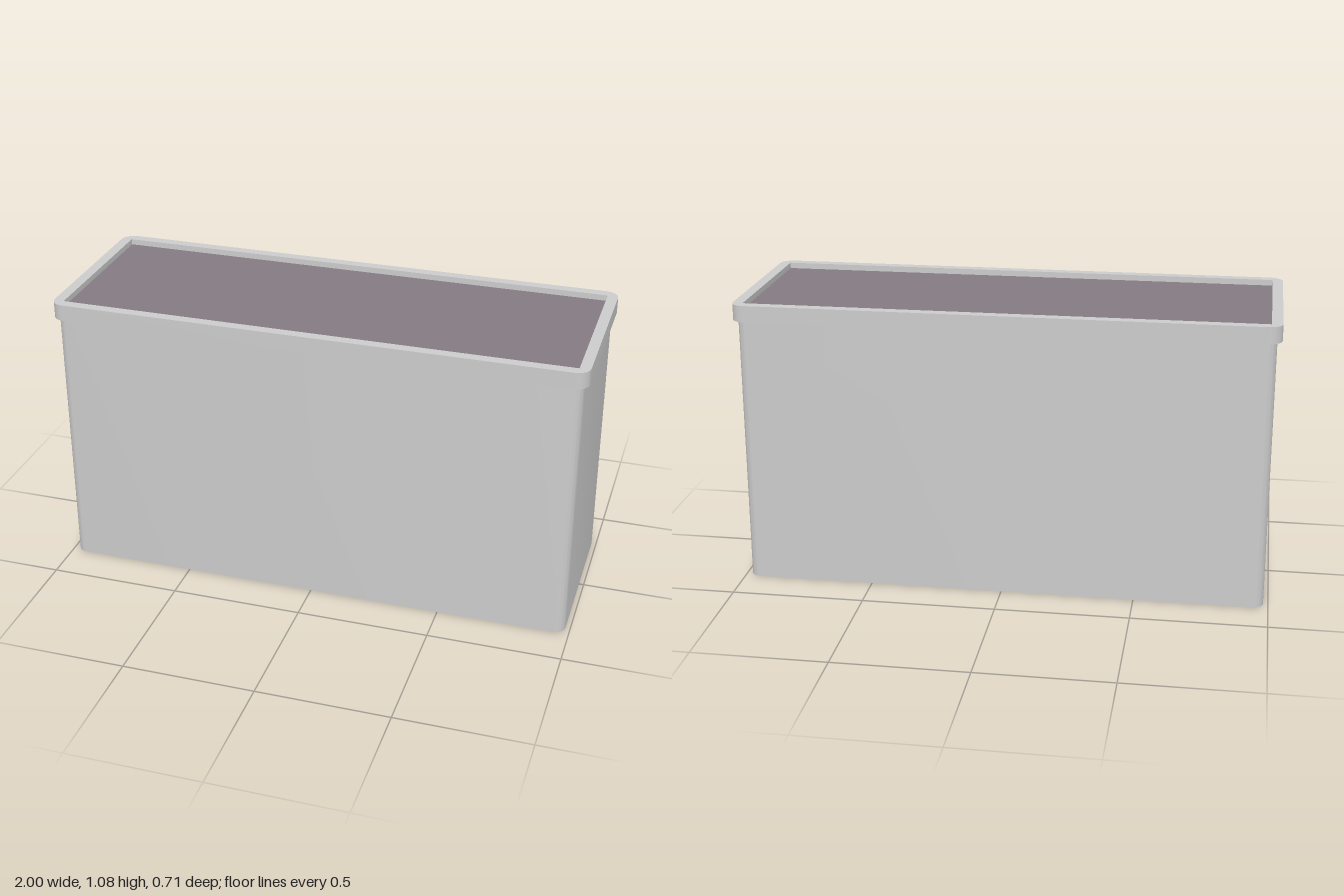
import * as THREE from 'three';
import { toCreasedNormals } from 'three/addons/utils/BufferGeometryUtils.js';

// Rounded rectangle outline centred on the origin
function roundedRect(width, depth, r) {
  const x = width / 2, y = depth / 2;
  const s = new THREE.Shape();
  s.moveTo(-x + r, -y);
  s.lineTo(x - r, -y);
  s.absarc(x - r, -y + r, r, -Math.PI / 2, 0);
  s.lineTo(x, y - r);
  s.absarc(x - r, y - r, r, 0, Math.PI / 2);
  s.lineTo(-x + r, y);
  s.absarc(-x + r, y - r, r, Math.PI / 2, Math.PI);
  s.lineTo(-x, -y + r);
  s.absarc(-x + r, -y + r, r, Math.PI, Math.PI * 1.5);
  return s;
}

// Upright prism from a floor outline, with smooth corners and sharp edges
function prism(name, shape, bottom, top, material) {
  const geometry = new THREE.ExtrudeGeometry(shape, {
    depth: top - bottom, bevelEnabled: false, curveSegments: 8,
  });
  geometry.rotateX(-Math.PI / 2).translate(0, bottom, 0);
  const mesh = new THREE.Mesh(toCreasedNormals(geometry, 0.6), material);
  mesh.name = name;
  return mesh;
}

export function createModel() {
  const group = new THREE.Group();
  group.name = 'planterBox';
  const grey = new THREE.MeshStandardMaterial({ color: 0xcccccc });
  const earth = new THREE.MeshStandardMaterial({ color: 0x847a82 });

  // Tall trough body
  group.add(prism('body', roundedRect(1.964, 0.686, 0.04), 0, 1.02, grey));

  // Overhanging rim with a square-cornered opening
  const rim = roundedRect(2, 0.714, 0.05);
  const w = 0.96, d = 0.318;
  rim.holes.push(new THREE.Path([[-w, -d], [-w, d], [w, d], [w, -d]]
    .map(([x, y]) => new THREE.Vector2(x, y))));
  group.add(prism('rim', rim, 1.02, 1.082, grey));

  // Soil slightly below the rim
  const soil = new THREE.Mesh(new THREE.BoxGeometry(2 * w, 0.06, 2 * d), earth);
  soil.name = 'soil';
  soil.position.y = 1.03;
  group.add(soil);

  return group;
}
